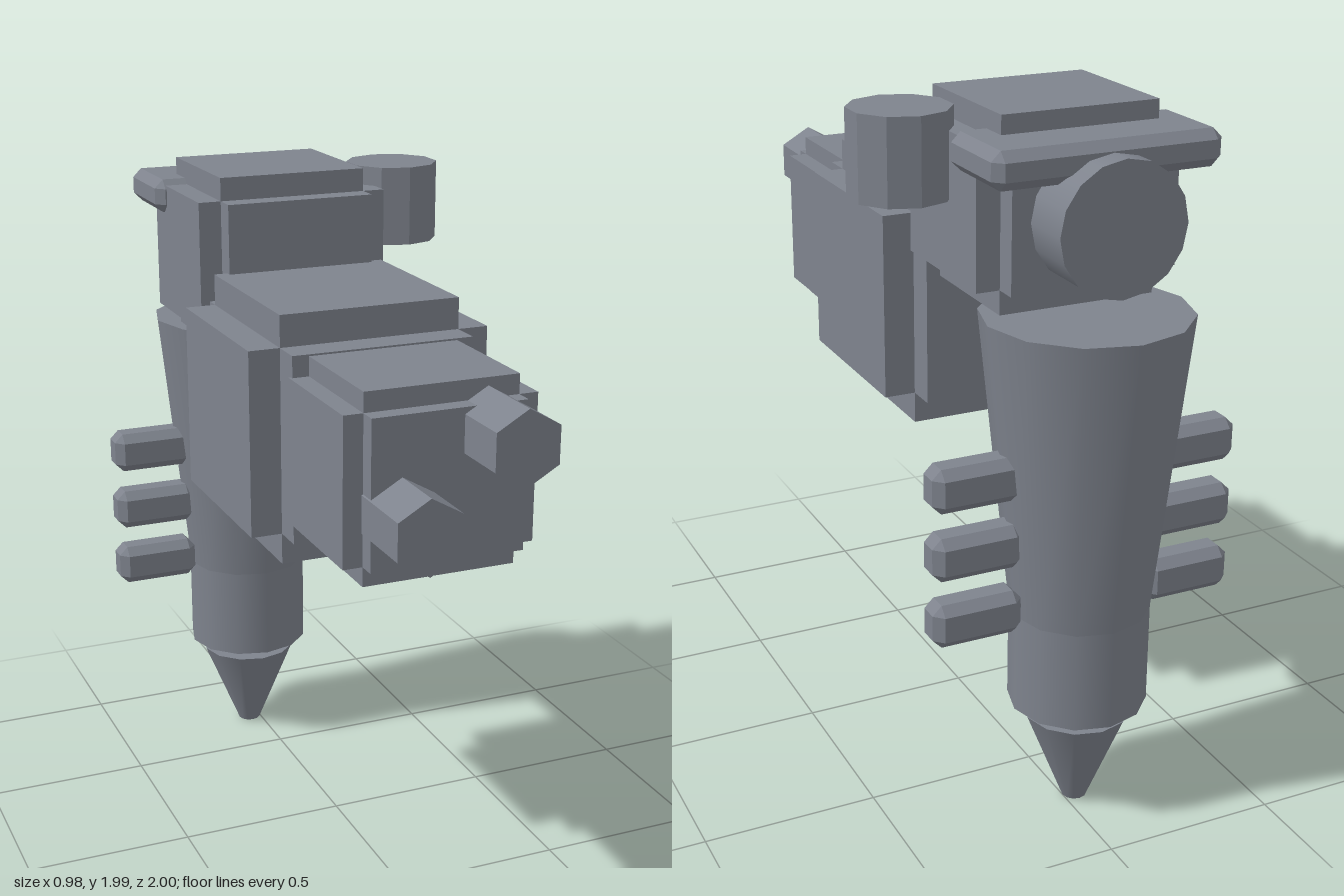
import * as THREE from 'three';
import { ConvexGeometry } from 'three/addons/geometries/ConvexGeometry.js';

export function createModel() {
  const model = new THREE.Group();
  const color = 0x7e838d;
  const smooth = new THREE.MeshStandardMaterial({ color });
  const flat = new THREE.MeshStandardMaterial({ color, flatShading: true });
  const CX = -0.036; // body centre line
  const CZ = -0.714; // axis of the drill column

  function add(parent, name, geometry, material, x, y, z) {
    const mesh = new THREE.Mesh(geometry, material);
    mesh.name = name;
    mesh.position.set(x, y, z);
    parent.add(mesh);
    return mesh;
  }

  // A box with every edge cut by a single flat bevel
  function bevelBox(w, h, d, bevel) {
    const points = [];
    for (const sx of [-1, 1]) for (const sy of [-1, 1]) for (const sz of [-1, 1]) {
      for (let axis = 0; axis < 3; axis++) {
        const p = [w / 2, h / 2, d / 2].map((half, i) => (i === axis ? half : half - bevel));
        points.push(new THREE.Vector3(p[0] * sx, p[1] * sy, p[2] * sz));
      }
    }
    return new ConvexGeometry(points);
  }

  // A block with raised panels on all six sides: three crossing boxes
  function panelBlock(name, inner, outer, y, z) {
    const group = new THREE.Group();
    group.name = name;
    for (let axis = 0; axis < 3; axis++) {
      const size = inner.slice();
      size[axis] = outer[axis];
      add(group, name + 'Panel', new THREE.BoxGeometry(...size), flat, 0, 0, 0);
    }
    group.position.set(CX, y, z);
    model.add(group);
  }
  panelBlock('body', [0.53, 0.53, 0.53], [0.71, 0.71, 0.71], 1.362, 0.065);
  panelBlock('neck', [0.435, 0.41, 0.37], [0.545, 0.52, 0.47], 1.362, 0.595);
  panelBlock('head', [0.45, 0.385, 0.415], [0.585, 0.52, 0.545], 1.727, -0.4525);

  // Hexagonal front pegs at different heights
  for (const [x, y] of [[-0.168, 1.301], [0.092, 1.497]]) {
    const peg = add(model, 'frontPeg', new THREE.CylinderGeometry(0.103, 0.103, 0.23, 6), flat, x, y, 0.885);
    peg.rotation.x = Math.PI / 2;
  }

  // Ten-sided side canister
  add(model, 'sideCanister', new THREE.CylinderGeometry(0.14, 0.14, 0.235, 10), flat, 0.353, 1.858, -0.405);

  // Bevelled rear bar with a round cap below it
  add(model, 'rearBar', bevelBox(0.645, 0.1, 0.28, 0.026), flat, CX, 1.886, -0.69);
  const cap = add(model, 'rearCap', new THREE.CylinderGeometry(0.18, 0.18, 0.155, 16), smooth, CX, 1.727, -0.8175);
  cap.rotation.x = Math.PI / 2;

  // Drill column: tapered top, straight shaft, separate tip
  const column = [
    ['columnTaper', 0.285, 0.195, 0.616, 1.463],
    ['columnShaft', 0.195, 0.195, 0.327, 0.616],
    ['columnTip', 0.153, 0.036, 0, 0.287],
  ];
  for (const [name, top, bottom, y0, y1] of column) {
    add(model, name, new THREE.CylinderGeometry(top, bottom, y1 - y0, 12), smooth, CX, (y0 + y1) / 2, CZ);
  }

  // Three pairs of bevelled side fins
  for (const y of [0.651, 0.846, 1.042]) {
    for (const side of [-1, 1]) {
      add(model, side > 0 ? 'leftFin' : 'rightFin', bevelBox(0.26, 0.125, 0.105, 0.026),
        flat, CX + side * 0.323, y, CZ);
    }
  }
  return model;
}
